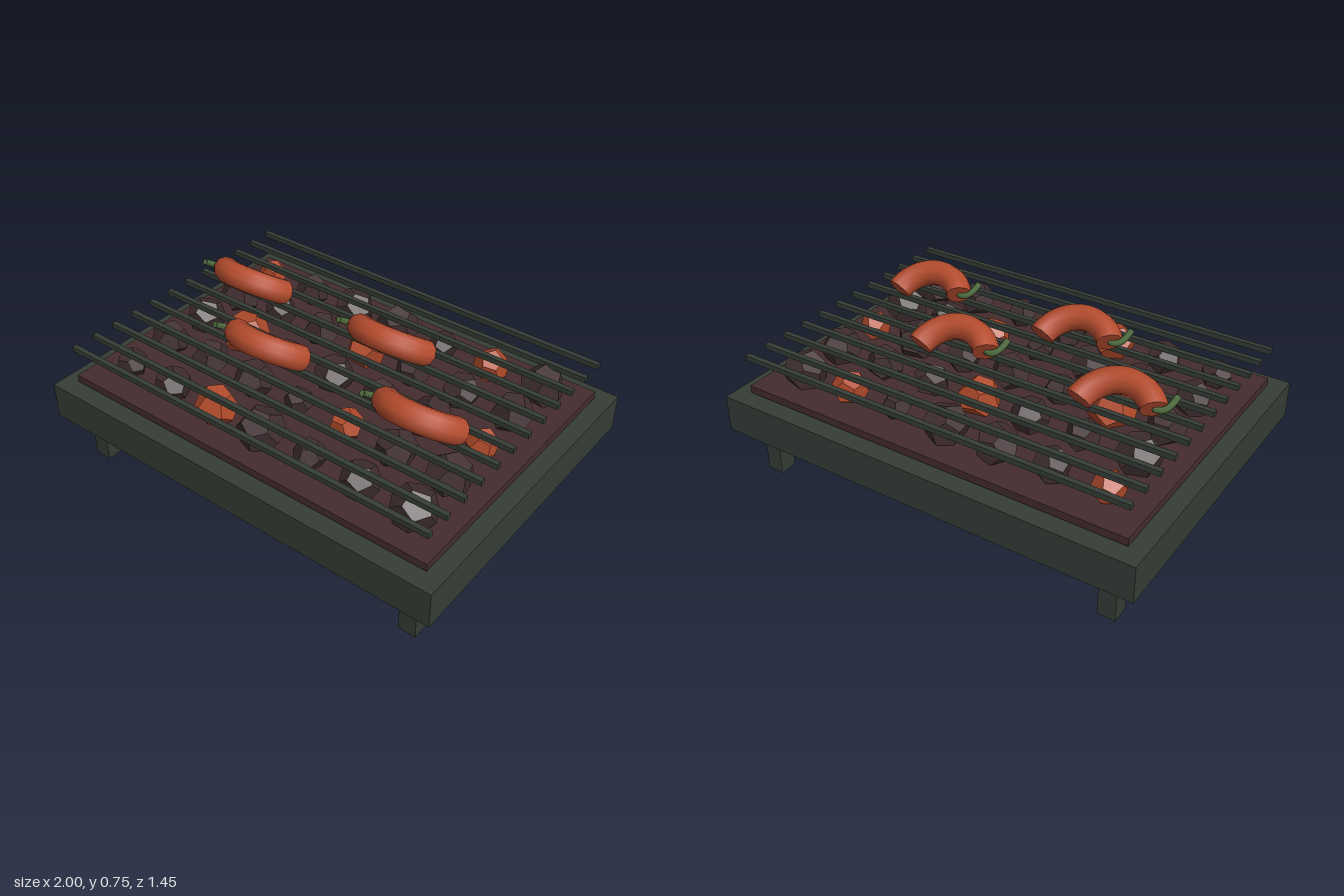
import * as THREE from 'three';

const mat = (name, color, flatShading = false) => {
  const m = new THREE.MeshStandardMaterial({ color, flatShading });
  m.name = name;
  return m;
};

export function createModel() {
  const root = new THREE.Group();
  root.name = 'grill';

  const iron = mat('dark iron', 0x353d36);
  const ash = mat('ember bed', 0x452c2e);
  const coalMat = mat('coal', 0x402e30, true);
  const hotMat = mat('glowing coal', 0xb04a2a, true);
  const skin = mat('sausage skin', 0xb54c2e);
  const green = mat('green stem', 0x4c6a3c);

  const add = (parent, name, geometry, material, x = 0, y = 0, z = 0) => {
    const mesh = new THREE.Mesh(geometry, material);
    mesh.name = name;
    mesh.position.set(x, y, z);
    parent.add(mesh);
    return mesh;
  };
  const box = (name, w, h, d, material, x, y, z) =>
    add(root, name, new THREE.BoxGeometry(w, h, d), material, x, y, z);

  // Tray, ember bed and legs
  box('tray', 2, 0.17, 1.45, iron, 0, 0.305, 0);
  box('emberBed', 1.85, 0.035, 1.29, ash, 0, 0.4125, 0);
  for (const x of [-0.85, 0.85]) {
    for (const z of [-0.595, 0.595]) box('leg', 0.08, 0.22, 0.08, iron, x, 0.11, z);
  }

  // Grate bars
  for (let i = 0; i < 12; i++) {
    box('grateBar', 1.85, 0.024, 0.024, iron, 0, 0.571, -0.635 + i * 0.1155);
  }

  // Coals: radius in hundredths per row, negative means glowing
  const coalRows = [
    [-7, 8, 9.5, 10, 6.5, -8, 10],
    [10, 7.5, 8.5, -9.5, 8, 8.5, 9.5],
    [9, -11, 7, 9, 8, 10, -7],
    [8.5, 8.5, 9, 6.5, -7.5, 9, 10],
    [7, 8, -9.5, 10.5, 7, 8.5, 10],
  ];
  let seed = 7;
  const rand = () => (seed = (seed * 16807) % 2147483647) / 2147483647;
  const coals = new THREE.Group();
  coals.name = 'coals';
  root.add(coals);
  coalRows.forEach((row, j) => row.forEach((r, i) => {
    const coal = add(coals, r < 0 ? 'glowingCoal' : 'coal',
      new THREE.DodecahedronGeometry(Math.abs(r) / 100), r < 0 ? hotMat : coalMat,
      (i - 3) * 0.25, 0.48, (j - 2) * 0.238);
    coal.rotation.set(rand() * 6, rand() * 6, rand() * 6);
  }));

  // Curved sausages with a flat cap at each end and a bent stem
  const R = 0.168, r = 0.058, start = 0.19, arc = 2.36;
  const bodyGeo = new THREE.TorusGeometry(R, r, 10, 20, arc);
  bodyGeo.rotateZ(start);
  const stemCurve = new THREE.QuadraticBezierCurve3(
    new THREE.Vector3(-0.138, 0.096, 0),
    new THREE.Vector3(-0.195, 0.08, 0),
    new THREE.Vector3(-0.205, 0.175, 0));
  const stemGeo = new THREE.TubeGeometry(stemCurve, 8, 0.014, 6);

  const cap = (parent, name, radius, sides, material, point, direction) => {
    const mesh = add(parent, name, new THREE.CircleGeometry(radius, sides), material);
    mesh.position.copy(point);
    mesh.quaternion.setFromUnitVectors(new THREE.Vector3(0, 0, 1), direction);
  };

  for (let i = 0; i < 4; i++) {
    const sausage = new THREE.Group();
    sausage.name = 'sausage';
    sausage.position.set(-0.62 + i * 0.39, 0.6, i % 2 ? 0.118 : -0.235);
    sausage.rotation.x = 0.98;
    root.add(sausage);
    add(sausage, 'sausageBody', bodyGeo, skin);
    for (const [a, s] of [[start, -1], [start + arc, 1]]) {
      cap(sausage, 'sausageEnd', r, 10, skin,
        new THREE.Vector3(Math.cos(a) * R, Math.sin(a) * R, 0),
        new THREE.Vector3(-Math.sin(a) * s, Math.cos(a) * s, 0));
    }
    add(sausage, 'stem', stemGeo, green);
    cap(sausage, 'stemTip', 0.014, 6, green, stemCurve.getPoint(1), stemCurve.getTangent(1));
  }

  return root;
}
